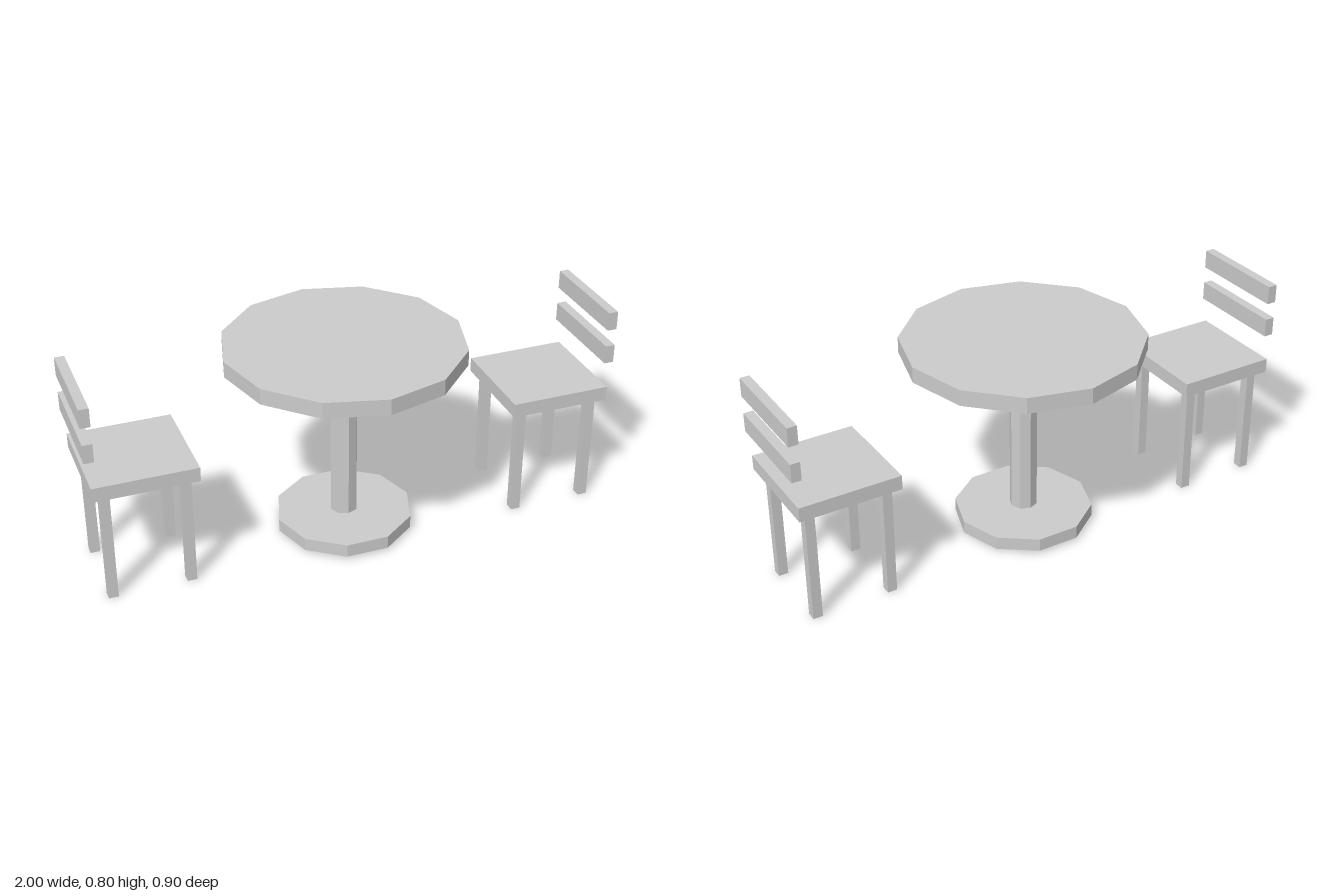
import * as THREE from 'three';

const grey = new THREE.MeshStandardMaterial({ color: 0xcccccc, flatShading: true });
grey.name = 'light grey';

function add(parent, name, geometry, x, y, z) {
  const mesh = new THREE.Mesh(geometry, grey);
  mesh.name = name;
  mesh.position.set(x, y, z);
  parent.add(mesh);
}

// Faceted disc or post between two heights, with a corner on the x axis
function addRound(parent, name, radius, bottom, top, sides) {
  const geometry = new THREE.CylinderGeometry(radius, radius, top - bottom, sides);
  geometry.rotateY(Math.PI / 2);
  add(parent, name, geometry, 0, (bottom + top) / 2, 0);
}

// Box given by its extents along each axis
function addBox(parent, name, [x0, x1], [y0, y1], [z0, z1]) {
  add(parent, name, new THREE.BoxGeometry(x1 - x0, y1 - y0, z1 - z0),
    (x0 + x1) / 2, (y0 + y1) / 2, (z0 + z1) / 2);
}

function createTable() {
  const table = new THREE.Group();
  table.name = 'table';
  addRound(table, 'tableTop', 0.448, 0.712, 0.773, 12);
  addRound(table, 'tableColumn', 0.052, 0.063, 0.712, 8);
  addRound(table, 'tableBase', 0.26, 0.013, 0.063, 10);
  return table;
}

// Chair on the +x side, facing the table
function createChair(name) {
  const chair = new THREE.Group();
  chair.name = name;
  addBox(chair, 'seat', [0.602, 0.985], [0.433, 0.488], [-0.193, 0.193]);
  for (const x of [0.647, 0.937]) {
    for (const z of [-0.147, 0.147]) {
      addBox(chair, 'chairLeg', [x - 0.018, x + 0.018], [0, 0.433], [z - 0.018, z + 0.018]);
    }
  }
  // Floating back slats
  for (const y of [0.592, 0.729]) {
    addBox(chair, 'backSlat', [0.964, 1], [y, y + 0.071], [-0.193, 0.193]);
  }
  return chair;
}

export function createModel() {
  const model = new THREE.Group();
  model.name = 'tableWithTwoChairs';
  const rightChair = createChair('rightChair');
  rightChair.rotation.y = Math.PI;
  model.add(createTable(), createChair('leftChair'), rightChair);
  return model;
}
